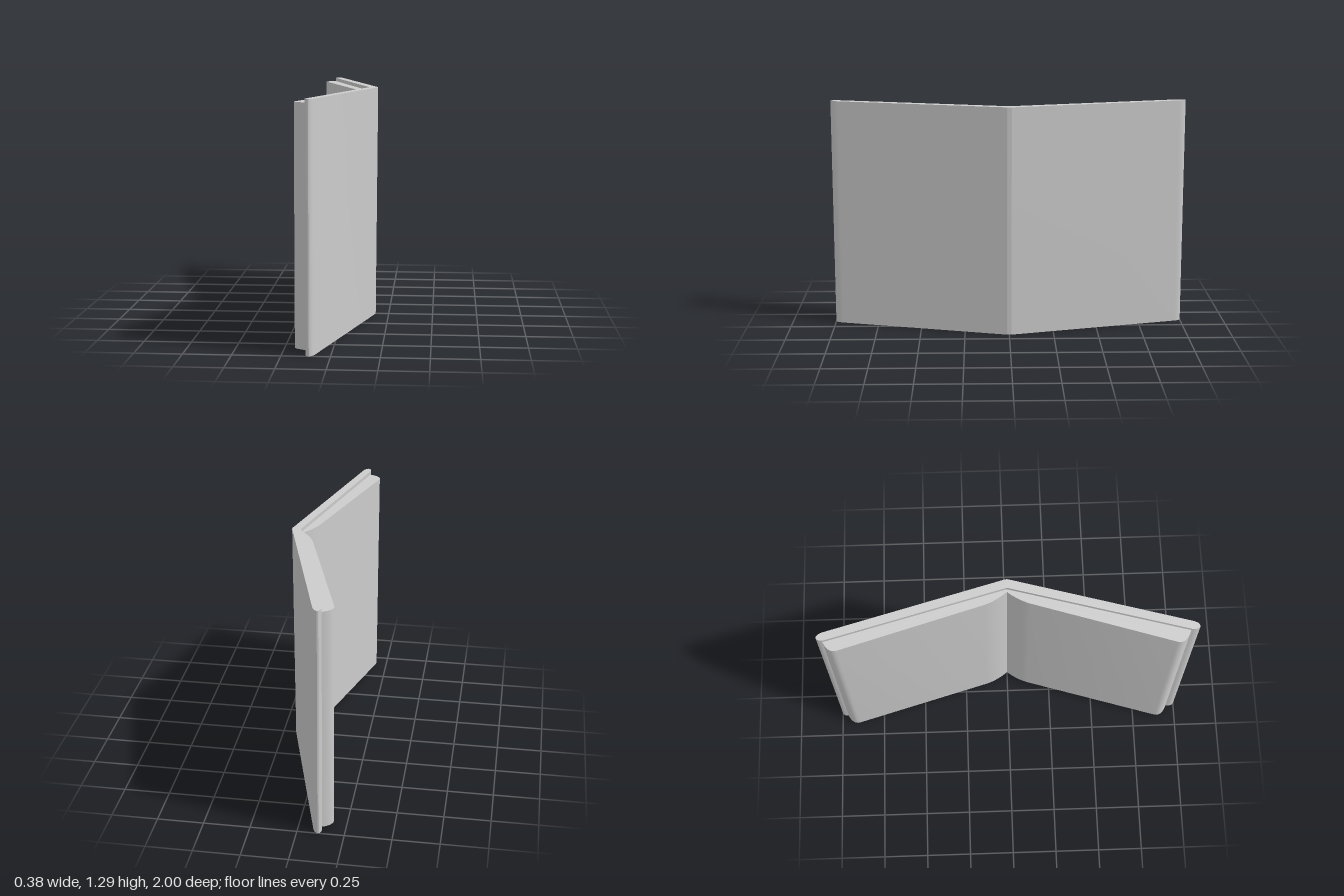
import * as THREE from 'three';
import { toCreasedNormals } from 'three/addons/utils/BufferGeometryUtils.js';

const HEIGHT = 1.29;
const LEAN = 0.01; // the spine leans out slightly towards the top

// Extrude a plan outline (x, z) upwards, then lean it at the spine.
function slab(name, shape, y0, y1) {
  let geo = new THREE.ExtrudeGeometry(shape, { depth: y1 - y0, bevelEnabled: false, curveSegments: 8 });
  geo.rotateX(-Math.PI / 2).translate(0, y0, 0);
  const p = geo.attributes.position;
  for (let i = 0; i < p.count; i++) {
    const fade = Math.max(0, 1 - Math.abs(p.getZ(i)));
    p.setX(i, p.getX(i) - LEAN * fade * (1 - p.getY(i) / HEIGHT));
  }
  geo = toCreasedNormals(geo, 0.45);
  const mesh = new THREE.Mesh(geo, new THREE.MeshStandardMaterial({ color: 0xcccccc }));
  mesh.name = name;
  return mesh;
}

// V-shaped cover with rounded fore edges (shape y = -z)
function coverShape() {
  const s = new THREE.Shape();
  s.moveTo(0.182, -0.02);
  s.quadraticCurveTo(0.19, 0, 0.182, 0.02);
  s.lineTo(-0.08, 0.96);
  s.bezierCurveTo(-0.093, 1.012, -0.128, 1.015, -0.128, 0.965);
  s.lineTo(0.137, 0);
  s.lineTo(-0.128, -0.965);
  s.bezierCurveTo(-0.128, -1.015, -0.093, -1.012, -0.08, -0.96);
  s.closePath();
  return s;
}

// One half of the page block: curved gutter, flat page, rounded fore edge
function pageShape(side, tipX, tipZ) {
  const s = new THREE.Shape();
  s.moveTo(0.137, 0);
  s.lineTo(0.122, 0);
  s.quadraticCurveTo(0.075, side * 0.055, 0.052, side * 0.12);
  s.lineTo(tipX, side * (tipZ - 0.01));
  s.bezierCurveTo(tipX - 0.008, side * (tipZ + 0.02), tipX + 0.01, side * (tipZ + 0.045),
    -0.122, side * (tipZ + 0.065));
  s.closePath();
  return s;
}

export function createModel() {
  const book = new THREE.Group();
  book.name = 'openBook';
  book.add(slab('cover', coverShape(), 0, HEIGHT));
  book.add(slab('frontPages', pageShape(-1, -0.188, 0.89), 0.02, 1.27));
  book.add(slab('backPages', pageShape(1, -0.179, 0.905), 0.02, 1.27));
  return book;
}
